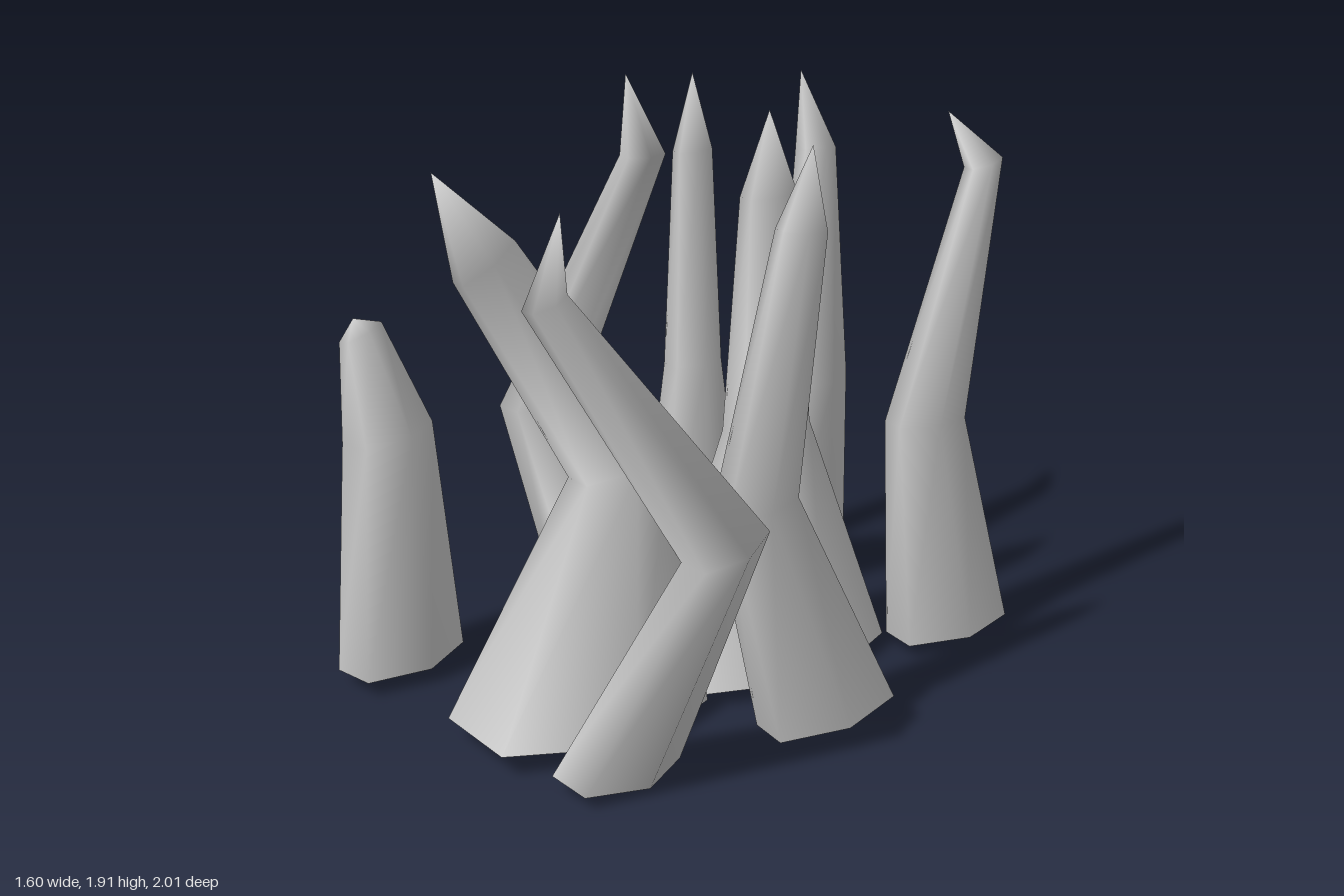
import * as THREE from 'three';

const SIDES = 6;
const UP = new THREE.Vector3(0, 1, 0);

// A six-sided spike through rings [x, y, z, halfX, halfZ], closed by a tip point.
function spike(name, rings, tip, turn = 0) {
  const centres = [...rings, tip].map(([x, y, z]) => new THREE.Vector3(x, y, z));
  const dirs = rings.map((_, i) => centres[i + 1].clone().sub(centres[i]).normalize());
  const points = [];
  rings.forEach(([, , , halfX, halfZ], k) => {
    // the base leans a little with the spike, the other rings halve the bend
    const normal = k === 0
      ? UP.clone().lerp(dirs[0], 0.3).normalize()
      : dirs[k - 1].clone().add(dirs[k]).normalize();
    const tilt = new THREE.Quaternion().setFromUnitVectors(UP, normal);
    for (let i = 0; i < SIDES; i++) {
      const a = (i / SIDES) * Math.PI * 2;
      points.push(new THREE.Vector3(Math.cos(a) * halfX, 0, -Math.sin(a) * halfZ / 0.866)
        .applyAxisAngle(UP, turn).applyQuaternion(tilt).add(centres[k]));
    }
  });
  const tipIndex = points.push(centres[rings.length]) - 1;

  // sides and pointed end
  const index = [];
  const last = (rings.length - 1) * SIDES;
  for (let i = 0; i < SIDES; i++) {
    const j = (i + 1) % SIDES;
    for (let r = 0; r < last; r += SIDES) {
      index.push(r + i, r + j, r + SIDES + j, r + i, r + SIDES + j, r + SIDES + i);
    }
    index.push(last + i, last + j, tipIndex);
  }
  // flat underside with its own corners, so its edge stays sharp
  const cap = points.length;
  for (let i = 0; i < SIDES; i++) points.push(points[i].clone());
  for (let i = 1; i < SIDES - 1; i++) index.push(cap, cap + i + 1, cap + i);

  const geometry = new THREE.BufferGeometry().setFromPoints(points);
  geometry.setIndex(index);
  geometry.computeVertexNormals();
  const mesh = new THREE.Mesh(geometry, new THREE.MeshStandardMaterial({ color: 0xcccccc }));
  mesh.name = name;
  return mesh;
}

export function createModel() {
  const group = new THREE.Group();
  group.name = 'spikeCluster';
  group.add(
    // two large spikes in the middle
    spike('centreBackSpike', [
      [0.08, 0.09, -0.21, 0.305, 0.365],
      [0.08, 0.86, -0.195, 0.1, 0.135],
      [0.08, 1.6, -0.195, 0.055, 0.09],
    ], [0.08, 1.86, -0.195]),
    spike('centreFrontSpike', [
      [0.08, 0.09, 0.525, 0.305, 0.375],
      [0.08, 0.86, 0.37, 0.1, 0.15],
      [0.08, 1.55, 0.81, 0.055, 0.1],
    ], [0.08, 1.82, 0.965]),
    // straight spikes on the right side
    spike('backRightStraightSpike', [
      [-0.595, 0.09, -0.41, 0.14, 0.185],
      [-0.595, 0.86, -0.41, 0.075, 0.095],
      [-0.595, 1.6, -0.41, 0.04, 0.068],
    ], [-0.595, 1.86, -0.41]),
    spike('frontRightStub', [
      [-0.575, 0.09, 0.78, 0.145, 0.2],
      [-0.575, 0.86, 0.79, 0.115, 0.135],
      [-0.605, 1.19, 0.85, 0.045, 0.07],
    ], [-0.61, 1.235, 0.87], 0.2),
    // bent spikes around the outside
    spike('backRightBentSpike', [
      [-0.41, 0.05, -0.73, 0.14, 0.19],
      [-0.265, 0.84, -0.67, 0.095, 0.13],
      [-0.325, 1.61, -0.72, 0.045, 0.08],
    ], [-0.42, 1.86, -0.73], 0.2),
    spike('rightElbowSpike', [
      [-0.3, 0.2, 0.09, 0.14, 0.21],
      [-0.69, 0.8, 0.16, 0.11, 0.12],
      [-0.205, 1.71, 0.07, 0.045, 0.07],
    ], [-0.27, 1.95, 0.085]),
    spike('leftElbowSpike', [
      [0.43, 0.08, 0.63, 0.14, 0.19],
      [0.71, 0.82, 0.45, 0.09, 0.13],
      [0.59, 1.57, 0.94, 0.045, 0.06],
    ], [0.64, 1.81, 0.92], 0.15),
    spike('leftSpike', [
      [0.54, 0.09, -0.07, 0.13, 0.21],
      [0.55, 0.84, 0.22, 0.085, 0.12],
      [0.58, 1.63, 0.09, 0.042, 0.075],
    ], [0.6, 1.87, 0.07], -0.1),
    spike('backLeftSpike', [
      [0.3, 0.09, -0.8, 0.13, 0.2],
      [0.3, 0.84, -0.67, 0.08, 0.13],
      [0.3, 1.65, -0.88, 0.045, 0.06],
    ], [0.3, 1.83, -0.72], -0.1),
  );
  return group;
}
